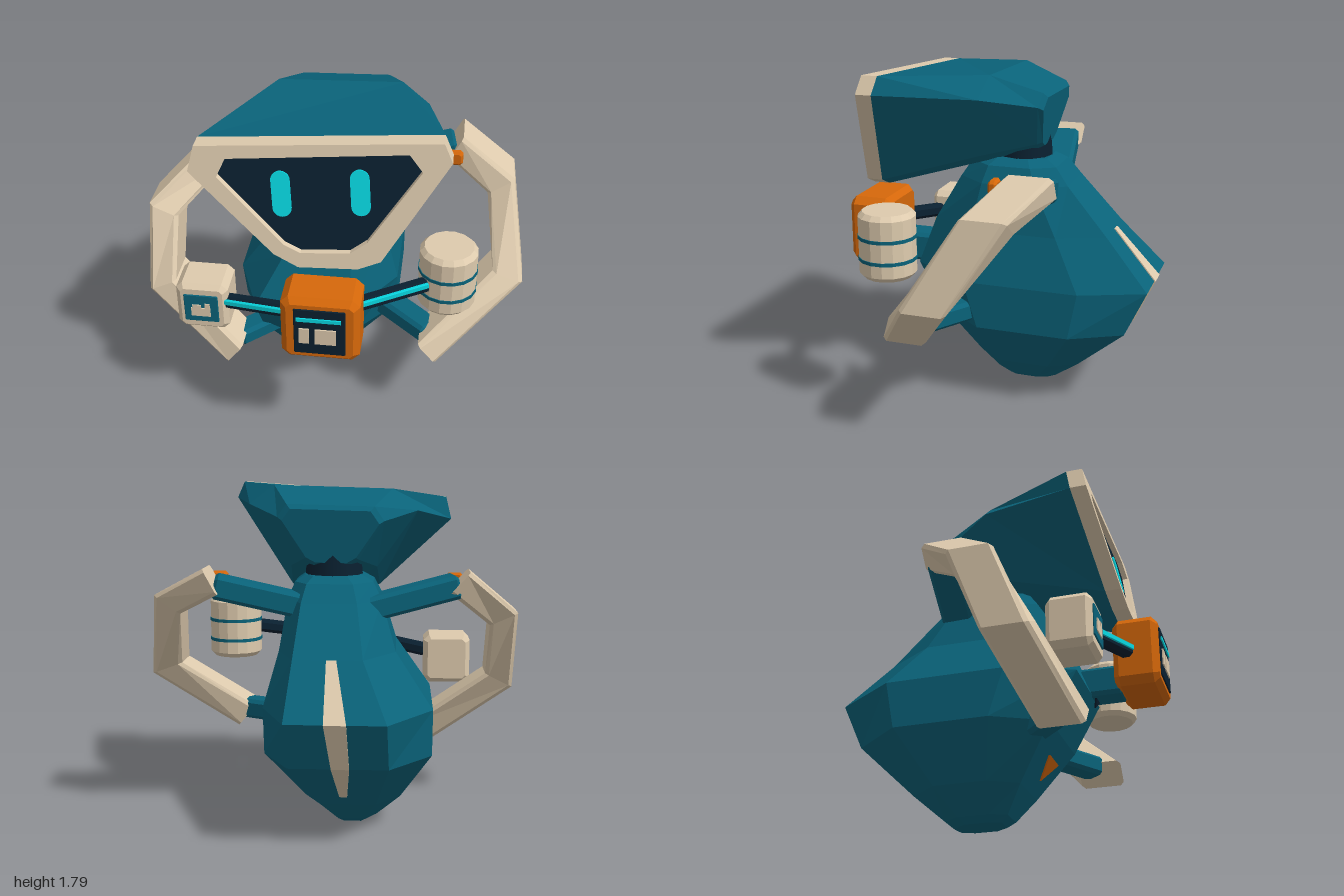
import * as THREE from 'three';

const mat = (name, color) => {
  const m = new THREE.MeshStandardMaterial({ color });
  m.name = name;
  return m;
};
const V = (x, y, z) => new THREE.Vector3(x, y, z);

// Skin between equal-length rings of points, flat shaded; caps close the ends, loop joins last to first
function loft(rings, { loop = false } = {}) {
  const tris = [], n = rings[0].length;
  const spans = loop ? rings.length : rings.length - 1;
  for (let r = 0; r < spans; r++) {
    const a = rings[r], b = rings[(r + 1) % rings.length];
    for (let i = 0; i < n; i++) {
      const j = (i + 1) % n;
      tris.push([a[i], a[j], b[j]], [a[i], b[j], b[i]]);
    }
  }
  if (!loop) {
    const cap = (ring, flip) => {
      const c = ring.reduce((s, p) => s.add(p), V(0, 0, 0)).divideScalar(n);
      ring.forEach((p, i) => {
        const q = ring[(i + 1) % n];
        tris.push(flip ? [c, q, p] : [c, p, q]);
      });
    };
    cap(rings[0], true);
    cap(rings[rings.length - 1], false);
  }
  // turn all faces outward
  const volume = tris.reduce((s, [a, b, c]) => s + a.dot(b.clone().cross(c)), 0);
  const pts = tris.flatMap(([a, b, c]) => (volume < 0 ? [a, c, b] : [a, b, c]));
  const g = new THREE.BufferGeometry().setFromPoints(pts);
  g.computeVertexNormals();
  return g;
}

// Box with all edges chamfered by c
function chamferBox(w, h, d, c) {
  const x = w / 2 - c, y = h / 2 - c, k = Math.min(c * 0.7, x / 2, y / 2);
  const s = new THREE.Shape([[-x + k, -y], [x - k, -y], [x, -y + k], [x, y - k], [x - k, y], [-x + k, y], [-x, y - k], [-x, -y + k]]
    .map(([a, b]) => new THREE.Vector2(a, b)));
  return new THREE.ExtrudeGeometry(s, { depth: d - 2 * c, bevelEnabled: true, bevelThickness: c, bevelSize: c, bevelSegments: 1 })
    .translate(0, 0, c - d / 2);
}

export function createModel() {
  const teal = mat('teal', 0x0a637a), cream = mat('cream', 0xdecbae), navy = mat('navy', 0x0a2030);
  const cyan = mat('cyan', 0x08d8e2), orange = mat('orange', 0xd6680a);
  const model = new THREE.Group();
  const add = (name, geo, m, x = 0, y = 0, z = 0) => {
    const mesh = new THREE.Mesh(geo, m);
    mesh.name = name;
    mesh.position.set(x, y, z);
    model.add(mesh);
    return mesh;
  };
  const beam = (name, a, b, w, h, m, c = 0.015) => {
    const mid = a.clone().add(b).multiplyScalar(0.5);
    add(name, chamferBox(w, h, a.distanceTo(b), c), m, mid.x, mid.y, mid.z).lookAt(b);
  };

  // Body: octagonal sections [y, centre x, centre z, half width, half depth], front and back faces slightly skewed
  const octagon = [[-0.58, 1], [0.58, 1], [1, 0.48], [1, -0.48], [0.58, -1], [-0.58, -1], [-1, -0.48], [-1, 0.48]];
  const sections = [
    [0, -0.125, -0.125, 0.08, 0.125], [0.03, -0.125, -0.13, 0.12, 0.17], [0.16, -0.12, -0.16, 0.25, 0.29],
    [0.43, -0.1, -0.21, 0.43, 0.52], [0.68, -0.1, -0.195, 0.43, 0.65], [0.95, -0.04, -0.135, 0.3, 0.485],
    [1.2, -0.02, -0.1, 0.245, 0.3], [1.29, -0.015, -0.095, 0.205, 0.235], [1.325, -0.01, -0.1, 0.15, 0.17],
  ];
  add('body', loft(sections.map(([y, cx, cz, hx, hz]) =>
    octagon.map(([u, v]) => V(cx + u * hx - Math.trunc(v) * hz * 0.07, y, cz + v * hz)))), teal);
  add('neck', new THREE.CylinderGeometry(0.14, 0.16, 0.2, 12), navy, -0.01, 1.34, -0.12);

  // Belly mark and back stripe, thin plates lying on the body
  const belly = [[-0.18, 0.33, 0.246], [-0.015, 0.33, 0.246], [-0.105, 0.225, 0.176]];
  add('bellyMark', loft([0, 0.009].map(o => belly.map(([x, y, z]) => V(x, y, z + o)))), orange);
  const stripe = [[0.95, -0.05, 0, -0.62], [0.68, -0.11, 0, -0.845], [0.43, -0.12, -0.03, -0.73], [0.22, -0.1, -0.06, -0.512]];
  add('backStripe', loft(stripe.map(([y, l, r, z]) => [V(l, y, z - 0.008), V(r, y, z - 0.008), V(r, y, z + 0.001), V(l, y, z + 0.001)])), cream);

  // Head: tapered shell behind a tilted, slightly rolled face
  const outer = [[-0.62, 1.705], [0.545, 1.79], [0.588, 1.7], [0.28, 1.187], [0.17, 1.14], [-0.12, 1.128], [-0.24, 1.187], [-0.652, 1.578]];
  const inner = [[-0.47, 1.652], [0.39, 1.727], [0.455, 1.647], [0.21, 1.28], [0.13, 1.22], [-0.11, 1.203], [-0.19, 1.24], [-0.513, 1.56]];
  const faceZ = y => 0.55 + (1.8 - y) * 0.194;
  const onFace = (poly, off) => poly.map(([x, y]) => V(x, y, faceZ(y) + off));
  // rear sections get rounder; top is the share of the width taken by the flat crown
  const rearRing = (cy, z, hx, hy, top) =>
    [[-top, 0.92], [top, 1], [1, 0.58], [0.52, -0.78], [0.32, -0.98], [-0.32, -1], [-0.52, -0.8], [-1, 0.45]]
      .map(([u, v]) => V(u * hx, cy + v * hy, z - v * hy * 0.19));
  add('headShell', loft([onFace(outer, -0.085), rearRing(1.54, 0.01, 0.45, 0.245, 0.7),
    rearRing(1.535, -0.255, 0.275, 0.16, 0.82), rearRing(1.53, -0.28, 0.25, 0.14, 0.82)]), teal);
  add('faceFrame', loft([onFace(outer, -0.085), onFace(outer, 0), onFace(inner, 0), onFace(inner, -0.085)], { loop: true }), cream);
  add('screen', loft([onFace(inner, -0.05), onFace(inner, -0.03)]), navy);

  // Eyes: upright pills on the screen
  const pill = new THREE.Shape();
  pill.absarc(0, 0.07, 0.046, 0, Math.PI);
  pill.absarc(0, -0.07, 0.046, Math.PI, Math.PI * 2);
  const eyeGeo = new THREE.ExtrudeGeometry(pill, { depth: 0.009, bevelEnabled: false, curveSegments: 8 });
  for (const [name, x, y] of [['rightEye', -0.208, 1.482], ['leftEye', 0.168, 1.513]])
    add(name, eyeGeo, cyan, x, y, faceZ(y) - 0.031).rotation.set(-0.19, 0, 0.075);

  // Side guards: C-shaped bars, a chamfered section mitred in the front plane and deep along z
  const guard = (name, pts) => {
    const w = 0.075, d = 0.12, c = 0.02, zAxis = V(0, 0, 1);
    const profile = [[-w, -d + c], [-w, d - c], [-w + c, d], [w - c, d], [w, d - c], [w, -d + c], [w - c, -d], [-w + c, -d]];
    const dirs = pts.slice(1).map((p, i) => p.clone().sub(pts[i]).setZ(0).normalize());
    const rings = pts.map((p, i) => {
      const d0 = dirs[Math.max(i - 1, 0)], d1 = dirs[Math.min(i, 2)];
      const side = d0.clone().add(d1).normalize().cross(zAxis);
      const miter = 1 / Math.sqrt((1 + d0.dot(d1)) / 2);
      return profile.map(([u, v]) => p.clone().addScaledVector(side, u * miter).addScaledVector(zAxis, v));
    });
    add(name, loft(rings), cream);
  };
  guard('leftGuard', [V(0.6, 1.31, -0.34), V(0.85, 1.175, -0.2), V(0.917, 0.785, 0.075), V(0.52, 0.45, 0.36)]);
  guard('rightGuard', [V(-0.67, 1.29, -0.15), V(-0.92, 1.07, 0.09), V(-0.915, 0.7, 0.26), V(-0.51, 0.38, 0.41)]);

  // Struts joining the guards to the body, and the small end knobs
  beam('leftUpperStrut', V(0.1, 1.16, -0.26), V(0.6, 1.28, -0.33), 0.17, 0.125, teal);
  beam('rightUpperStrut', V(-0.12, 1.135, -0.25), V(-0.66, 1.27, -0.16), 0.17, 0.125, teal);
  beam('leftLowerStrut', V(0.22, 0.515, 0.08), V(0.53, 0.49, 0.33), 0.14, 0.11, teal);
  beam('rightLowerStrut', V(-0.27, 0.42, 0.17), V(-0.52, 0.4, 0.38), 0.13, 0.1, teal);
  add('leftKnob', chamferBox(0.09, 0.08, 0.045, 0.012), orange, 0.595, 1.297, -0.155);
  add('rightKnob', chamferBox(0.09, 0.08, 0.045, 0.012), orange, -0.652, 1.275, 0.035);

  // Central chest unit with its display
  add('chestMount', chamferBox(0.16, 0.16, 0.28, 0.015), teal, 0, 0.755, 0.48);
  const notch = [[-0.05, 0.69, 0.47], [0.05, 0.69, 0.47], [0, 0.635, 0.45]];
  add('chestNotch', loft([0, 0.009].map(o => notch.map(([x, y, z]) => V(x, y, z + o)))), navy);
  add('chestUnit', chamferBox(0.39, 0.375, 0.235, 0.03), orange, 0.003, 0.857, 0.713);
  add('chestDisplay', chamferBox(0.255, 0.275, 0.009, 0.004), navy, 0.003, 0.857, 0.834);
  add('displayBar', new THREE.BoxGeometry(0.22, 0.02, 0.008), cyan, 0, 0.935, 0.842);
  add('displayTileSmall', new THREE.BoxGeometry(0.05, 0.09, 0.008), cream, -0.073, 0.835, 0.842);
  add('displayTileLarge', new THREE.BoxGeometry(0.105, 0.09, 0.008), cream, 0.033, 0.835, 0.842);

  // Rods linking the three units, each with a bright strip
  const rods = [['right', V(-0.52, 0.795, 0.57), V(-0.12, 0.86, 0.69)], ['left', V(0.12, 0.88, 0.65), V(0.51, 0.95, 0.5)]];
  for (const [side, a, b] of rods) {
    beam(side + 'Rod', a, b, 0.07, 0.075, navy);
    const lift = V(0, 0.014, 0.034);
    beam(side + 'RodStrip', a.clone().add(lift), b.clone().add(lift), 0.018, 0.03, cyan, 0.003);
  }

  // Small cube unit with plate and pictogram
  add('cubeUnit', chamferBox(0.268, 0.28, 0.225, 0.025), cream, -0.635, 0.77, 0.507);
  add('cubePlate', chamferBox(0.178, 0.168, 0.009, 0.004), teal, -0.638, 0.772, 0.624);
  for (const [x, y, w, h] of [[-0.64, 0.752, 0.1, 0.05], [-0.66, 0.785, 0.045, 0.025], [-0.605, 0.79, 0.026, 0.035]])
    add('pictogramBlock', new THREE.BoxGeometry(w, h, 0.008), cream, x, y, 0.63);

  // Canister with two thin bands
  const circle = (r, y) => Array.from({ length: 16 }, (_, i) => {
    const t = (i + 0.5) / 16 * Math.PI * 2;
    return V(r * Math.cos(t), y, r * Math.sin(t));
  });
  add('canister', loft([[0.125, 0.785], [0.148, 0.81], [0.148, 1.105], [0.125, 1.13]].map(([r, y]) => circle(r, y))), cream, 0.6, 0, 0.415);
  for (const y of [0.885, 0.999])
    add('canisterBand', loft([circle(0.152, y - 0.009), circle(0.152, y + 0.009)]), teal, 0.6, 0, 0.415);

  return model;
}
